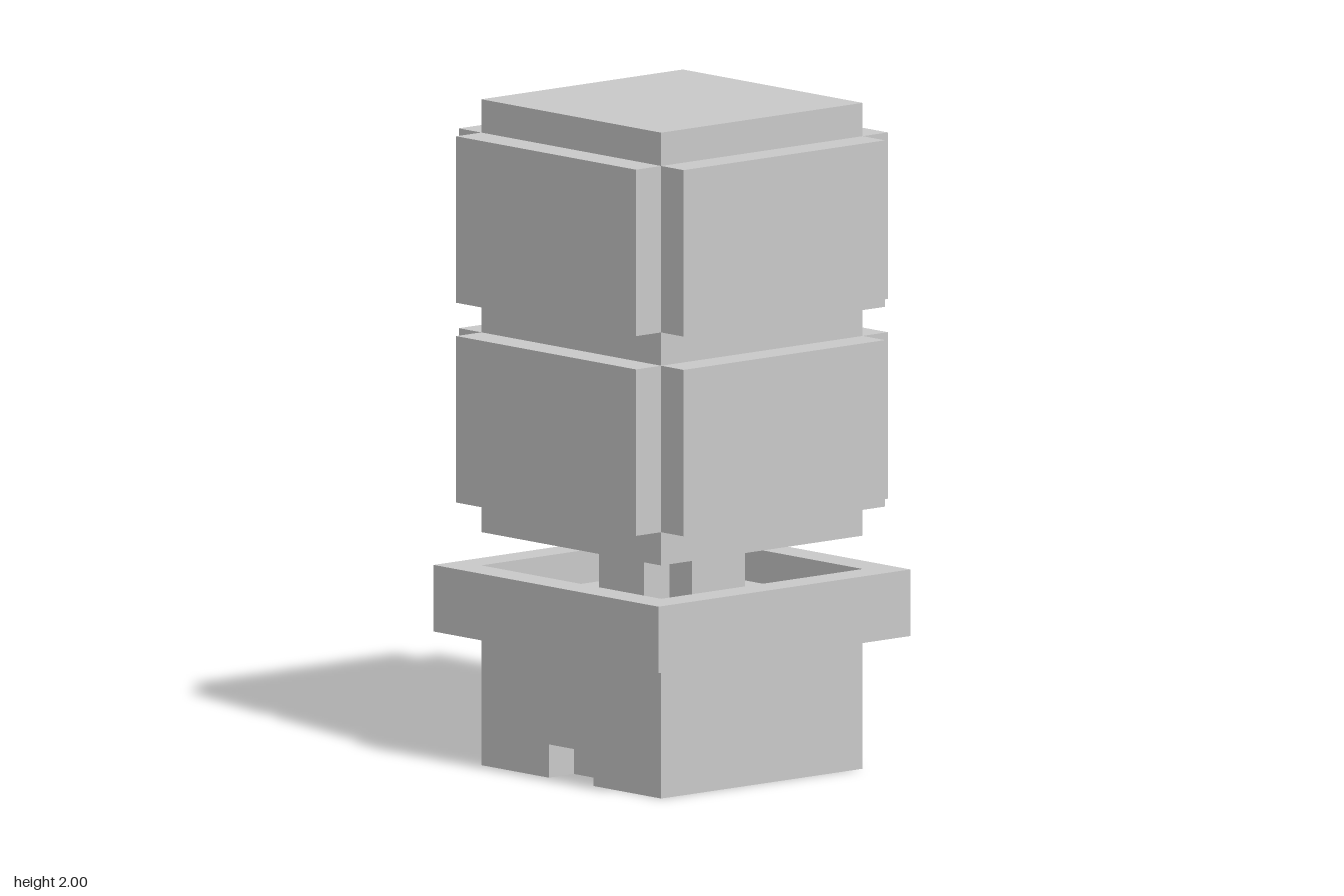
import * as THREE from 'three';

const material = new THREE.MeshStandardMaterial({ color: 0xcccccc, flatShading: true });

function add(parent, name, geometry) {
  const mesh = new THREE.Mesh(geometry, material);
  mesh.name = name;
  parent.add(mesh);
  return mesh;
}

// Square block from y0 to y1
function block(parent, name, width, y0, y1) {
  const mesh = add(parent, name, new THREE.BoxGeometry(width, y1 - y0, width));
  mesh.position.y = (y0 + y1) / 2;
  return mesh;
}

// Floor plan raised from y0 to y1
function raisePlan(parent, name, shape, y0, y1) {
  const geometry = new THREE.ExtrudeGeometry(shape, { depth: y1 - y0, bevelEnabled: false });
  geometry.rotateX(-Math.PI / 2);
  const mesh = add(parent, name, geometry);
  mesh.position.y = y0;
  return mesh;
}

const points = (list) => list.map(([x, y]) => new THREE.Vector2(x, y));
const square = (h) => points([[-h, -h], [h, -h], [h, h], [-h, h]]);

export function createModel() {
  const model = new THREE.Group();
  model.name = 'pillar';

  // Foot with a notch in the middle of the front and back
  const foot = new THREE.Shape(points([
    [-0.4, -0.4], [-0.1, -0.4], [-0.1, -0.3], [0.1, -0.3], [0.1, -0.4], [0.4, -0.4],
    [0.4, 0.4], [0.1, 0.4], [0.1, 0.3], [-0.1, 0.3], [-0.1, 0.4], [-0.4, 0.4],
  ]));
  raisePlan(model, 'notchedFoot', foot, 0, 0.1);

  // Base block; its top is the floor of the tray
  block(model, 'base', 0.8, 0.1, 0.5);

  // Square rim around the tray
  const rim = new THREE.Shape(square(0.5));
  rim.holes.push(new THREE.Path(square(0.4)));
  raisePlan(model, 'trayRim', rim, 0.4, 0.6);

  // Cross-shaped post between tray and body
  const cross = new THREE.Shape(points([
    [-0.1, -0.2], [0.1, -0.2], [0.1, -0.1], [0.2, -0.1], [0.2, 0.1], [0.1, 0.1],
    [0.1, 0.2], [-0.1, 0.2], [-0.1, 0.1], [-0.2, 0.1], [-0.2, -0.1], [-0.1, -0.1],
  ]));
  raisePlan(model, 'crossPost', cross, 0.5, 0.7);

  // Body with two tiers of raised panels on all four sides
  block(model, 'body', 0.8, 0.7, 2);
  const panelGeometry = new THREE.BoxGeometry(0.8, 0.5, 0.1).translate(0, 0, 0.45);
  [['lower', 1.05], ['upper', 1.65]].forEach(([tier, y]) => {
    ['Front', 'Left', 'Back', 'Right'].forEach((side, i) => {
      const panel = add(model, `${tier}${side}Panel`, panelGeometry);
      panel.position.y = y;
      panel.rotation.y = (i * Math.PI) / 2;
    });
  });

  return model;
}
